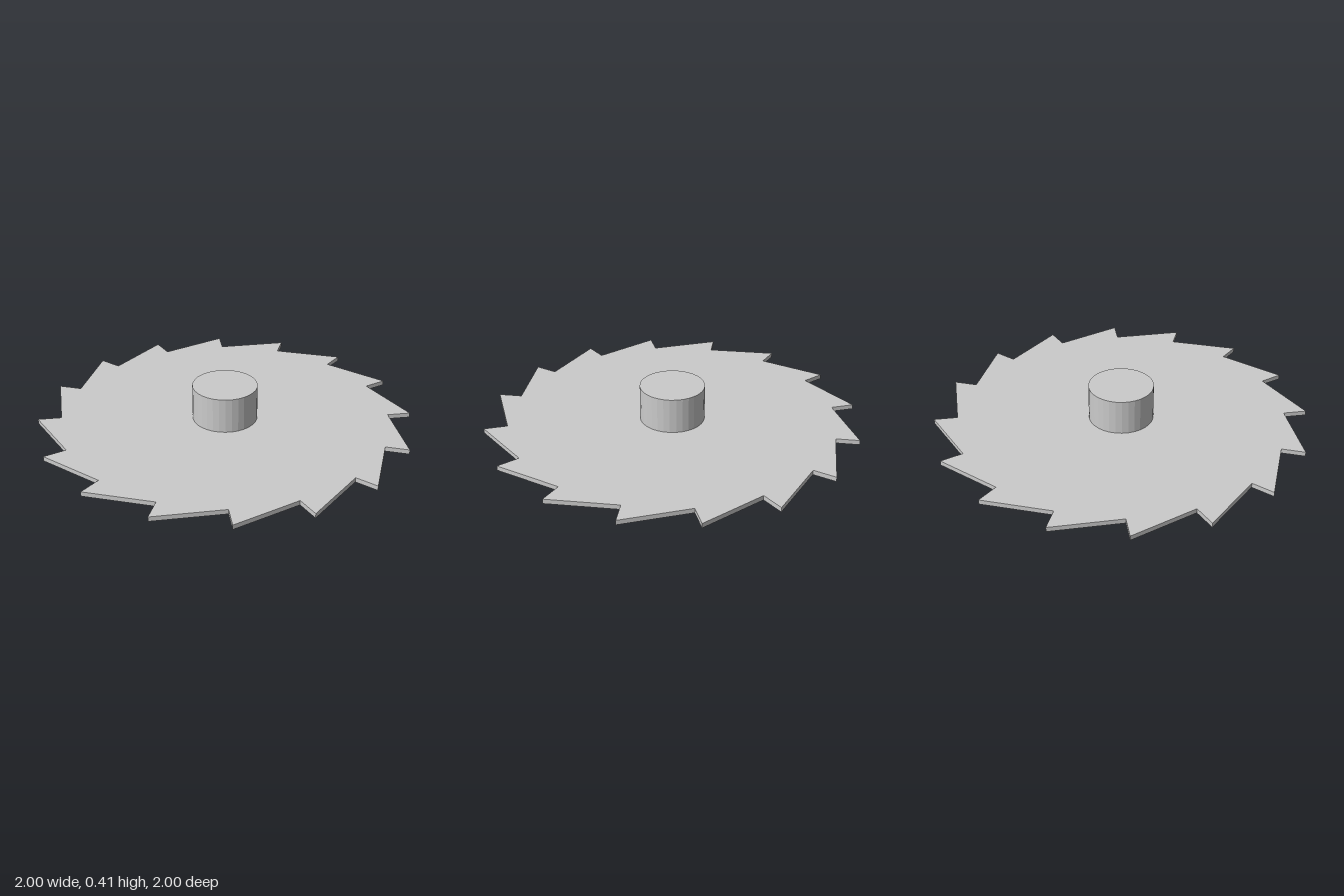
import * as THREE from 'three';

const TEETH = 16;
const TIP_RADIUS = 1.0;
const ROOT_RADIUS = 0.877;
const TIP_LEAN = 0.016; // radians the tip leads its root
const HUB_RADIUS = 0.173;
const HUB_HEIGHT = 0.406;
const BLADE_THICKNESS = 0.025;

export function createModel() {
  const group = new THREE.Group();
  group.name = 'ratchetWheel';
  const material = new THREE.MeshStandardMaterial({ color: 0xcccccc, flatShading: true });

  // Toothed disc: a steep face out to each tip, then a long slope to the next root
  const points = [];
  const polar = (r, a) => new THREE.Vector2(r * Math.cos(a), r * Math.sin(a));
  for (let i = 0; i < TEETH; i++) {
    const a = (i / TEETH) * Math.PI * 2;
    points.push(polar(ROOT_RADIUS, a), polar(TIP_RADIUS, a + TIP_LEAN));
  }
  const discGeometry = new THREE.ExtrudeGeometry(new THREE.Shape(points), {
    depth: BLADE_THICKNESS,
    bevelEnabled: false,
  });
  discGeometry.rotateX(-Math.PI / 2);
  const disc = new THREE.Mesh(discGeometry, material);
  disc.name = 'toothedDisc';
  disc.position.y = (HUB_HEIGHT - BLADE_THICKNESS) / 2;
  group.add(disc);

  // Central hub passing through the disc
  const hub = new THREE.Mesh(
    new THREE.CylinderGeometry(HUB_RADIUS, HUB_RADIUS, HUB_HEIGHT, 32),
    material
  );
  hub.name = 'hub';
  hub.position.y = HUB_HEIGHT / 2;
  group.add(hub);

  return group;
}
